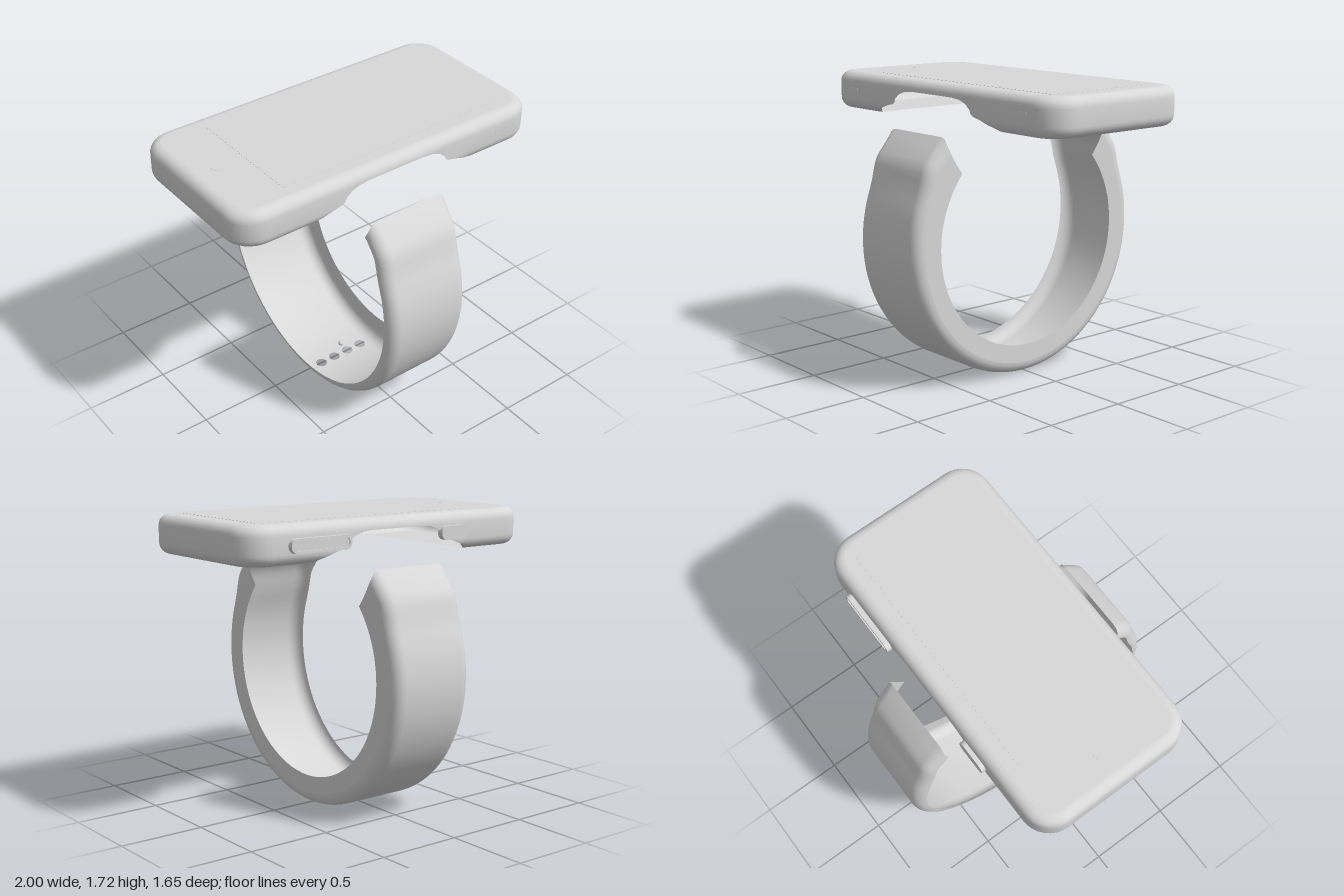
import * as THREE from 'three';
import { mergeGeometries, toCreasedNormals } from 'three/addons/utils/BufferGeometryUtils.js';

const grey = new THREE.MeshStandardMaterial({ color: 0xd8d8d8, side: THREE.DoubleSide });
grey.name = 'light grey';

function add(parent, name, geometry, x = 0, y = 0, z = 0) {
  const mesh = new THREE.Mesh(geometry, grey);
  mesh.name = name;
  mesh.position.set(x, y, z);
  parent.add(mesh);
}

// Skin over rings; each ring is an outbound path followed by its return path.
// hasWall(level, point) and hasCap(isLast, point) choose which faces exist.
function loft(rings, hasWall, hasCap) {
  const n = rings[0].length;
  const position = new THREE.Float32BufferAttribute(rings.flat(2), 3);
  const part = (index, crease) => {
    const g = new THREE.BufferGeometry();
    g.setAttribute('position', position);
    g.setIndex(index);
    return toCreasedNormals(g, crease);
  };
  const wall = [], caps = [];
  for (let k = 0; k < rings.length - 1; k++) {
    for (let j = 0; j < n; j++) {
      if (!hasWall(k, j)) continue;
      const a = k * n + j, b = k * n + (j + 1) % n;
      wall.push(a, b, b + n, a, b + n, a + n);
    }
  }
  const top = (rings.length - 1) * n;
  for (let i = 0; i < n / 2 - 1; i++) {
    const a = i, b = i + 1, c = n - 2 - i, d = n - 1 - i;
    if (hasCap(false, i)) caps.push(a, c, b, a, d, c);
    if (hasCap(true, i)) caps.push(top + a, top + b, top + c, top + a, top + c, top + d);
  }
  return mergeGeometries([part(wall, 0.55), part(caps, 0.4)]);
}

// Levels [coordinate, inset] that round both edges of a slab
function roundedLevels(lo, hi, r, steps = 6) {
  const low = [];
  for (let i = 0; i <= steps; i++) {
    const t = (i / steps) * Math.PI / 2;
    low.push([r * (1 - Math.cos(t)), r * (1 - Math.sin(t))]);
  }
  return [
    ...low.map(([c, e]) => [lo + c, e]),
    ...low.slice().reverse().map(([c, e]) => [hi - c, e]),
  ];
}

// Horizontal pill outline
function pill(w, h, Type = THREE.Shape) {
  const r = h / 2, c = w / 2 - r, s = new Type();
  s.absarc(c, 0, r, -Math.PI / 2, Math.PI / 2, false);
  s.absarc(-c, 0, r, Math.PI / 2, Math.PI * 1.5, false);
  s.closePath();
  return s;
}
const extrude = (shape, depth) =>
  new THREE.ExtrudeGeometry(shape, { depth, bevelEnabled: false, curveSegments: 12 });

// Rounded shell, notched in the front and back walls and open between the two ends below
function bodyGeometry() {
  const R = 0.17, BASE = 1.5, EDGE = 0.062, STEPS = 8;
  const notch = [[0.18, 1.655], [0.25, 1.648], [0.3, 1.63], [0.335, 1.602], [0.345, 1.58],
    [0.365, 1.567], [0.41, 1.558], [0.48, 1.534], [0.55, BASE]];
  const stations = [...notch.slice().reverse().map(([x, b]) => [-x, b]), ...notch];
  // Inset of the rounded lower edge at a given height
  const lowInset = (y) => {
    const c = 1 - Math.min(1, (y - BASE) / EDGE);
    return EDGE * (1 - Math.sqrt(1 - c * c));
  };
  const rings = roundedLevels(BASE, 1.72, EDGE).map(([y, e]) => {
    const corner = [];
    for (let i = 0; i <= STEPS; i++) {
      const t = (i / STEPS) * Math.PI / 2;
      corner.push([0.83 + (R - e) * Math.cos(t), y, 0.33 + (R - e) * Math.sin(t)]);
    }
    const front = [
      ...corner.map(([x, h, z]) => [-x, h, z]),
      ...stations.map(([x, b]) => (y < b ? [x, b, 0.5 - lowInset(b)] : [x, y, 0.5 - e])),
      ...corner.slice().reverse(),
    ];
    return [...front, ...front.map(([x, h, z]) => [x, h, -z]).reverse()];
  });
  const strips = rings[0].length / 2 - 1;
  return loft(rings, () => true, (isTop, i) => isTop || i <= STEPS || i >= strips - STEPS - 1);
}

// Open wrist band: a rounded outer shell with one solid side face
const CY = 0.826, OUTER = 0.825, INNER = 0.65, TIP = 8, ARC = 40;
const OUTER_START = 18 * Math.PI / 180, INNER_START = 40 * Math.PI / 180;

function bandGeometry() {
  const curve = (pts) => new THREE.SplineCurve(pts.map(([z, y]) => new THREE.Vector2(z, y)));
  const r = 0.07;
  const shoulder = curve([[0.594, 1.45], [0.698, 1.33], [0.732, 1.265], [0.754, 1.175],
    [OUTER * Math.cos(OUTER_START), CY + OUTER * Math.sin(OUTER_START)]]);
  const end = curve([[0.594, 1.45], [0.592, 1.4], [0.566, 1.345], [0.54, 1.303], [0.498, 1.244]]);
  const arc = (radius, start) => {
    const pts = [];
    for (let i = 1; i <= ARC; i++) {
      const t = start - (start + Math.PI / 2) * i / ARC;
      pts.push(new THREE.Vector2(radius * Math.cos(t), CY + radius * Math.sin(t)));
    }
    return pts;
  };
  const outer = [...shoulder.getPoints(TIP), ...arc(OUTER, OUTER_START)];
  const innerArc = arc(INNER, INNER_START);

  const rings = roundedLevels(-0.27, 0.27, r).map(([x, e]) => {
    const start = 0.42 * e / r;
    const endPts = [];
    for (let i = 0; i <= TIP; i++) endPts.push(end.getPoint(start + (1 - start) * i / TIP));
    const inner = [...endPts, ...innerArc];
    const out = outer.map((p, i) => {
      if (i === 0) return endPts[0];
      if (i === outer.length - 1) return new THREE.Vector2(0, p.y + e);
      const d = outer[i + 1].clone().sub(outer[i - 1]).normalize();
      return new THREE.Vector2(p.x + d.y * e, p.y - d.x * e);
    });
    const whole = (half) => [
      ...half.map((p) => [x, p.y, p.x]),
      ...half.slice(0, -1).reverse().map((p) => [x, p.y, -p.x]),
    ];
    return [...whole(out), ...whole(inner).reverse()];
  });
  // Outer wall only, leaving out the lowest strips for the perforated panel
  const low = TIP + ARC;
  const isPanel = (k, j) => k === 6 && (j === low - 1 || j === low);
  return loft(rings, (k, j) => j < 2 * low && !isPanel(k, j), (isLeft) => isLeft);
}

// Flat panel with a row of four holes
function perforatedPanel() {
  const step = (OUTER_START + Math.PI / 2) / ARC;
  const w = OUTER * Math.sin(step);
  const shape = new THREE.Shape([[-0.2, -w], [0.2, -w], [0.2, w], [-0.2, w]]
    .map(([x, y]) => new THREE.Vector2(x, y)));
  for (const x of [-0.15, -0.05, 0.05, 0.15]) {
    shape.holes.push(new THREE.Path().absarc(x, 0, 0.034, 0, Math.PI * 2, true));
  }
  return new THREE.ShapeGeometry(shape, 12)
    .rotateX(Math.PI / 2)
    .translate(0, CY - OUTER * Math.cos(step), 0);
}

export function createModel() {
  const model = new THREE.Group();
  model.name = 'wristDevice';

  const device = new THREE.Group();
  device.name = 'device';
  model.add(device);
  add(device, 'body', bodyGeometry());
  add(device, 'innerPlate', new THREE.BoxGeometry(1.72, 0.004, 0.99), 0, 1.657, 0);
  add(device, 'screen', new THREE.BoxGeometry(1.49, 0.002, 0.74), 0.1, 1.72, 0);
  add(device, 'homeButton', new THREE.CylinderGeometry(0.035, 0.035, 0.002, 24), -0.81, 1.72, 0);

  // Front slots
  for (const x of [-0.755, 0.75]) {
    add(device, 'frontSlot', extrude(pill(0.09, 0.024), 0.003), x, 1.62, 0.498);
  }

  // Back buttons: a plain one and a rimmed long one
  add(device, 'smallButton', extrude(pill(0.2, 0.08), 0.035), -0.41, 1.605, -0.525);
  const rim = pill(0.4, 0.08);
  rim.holes.push(pill(0.37, 0.05, THREE.Path));
  add(device, 'longButtonRim', extrude(rim, 0.04), 0.54, 1.605, -0.53);
  add(device, 'longButton', extrude(pill(0.37, 0.05), 0.03), 0.54, 1.605, -0.522);

  // Band
  const band = new THREE.Group();
  band.name = 'band';
  model.add(band);
  add(band, 'strap', bandGeometry());
  add(band, 'perforation', perforatedPanel());
  add(band, 'innerStud', new THREE.SphereGeometry(0.016, 12, 8), 0, 0.086, 0);
  return model;
}
